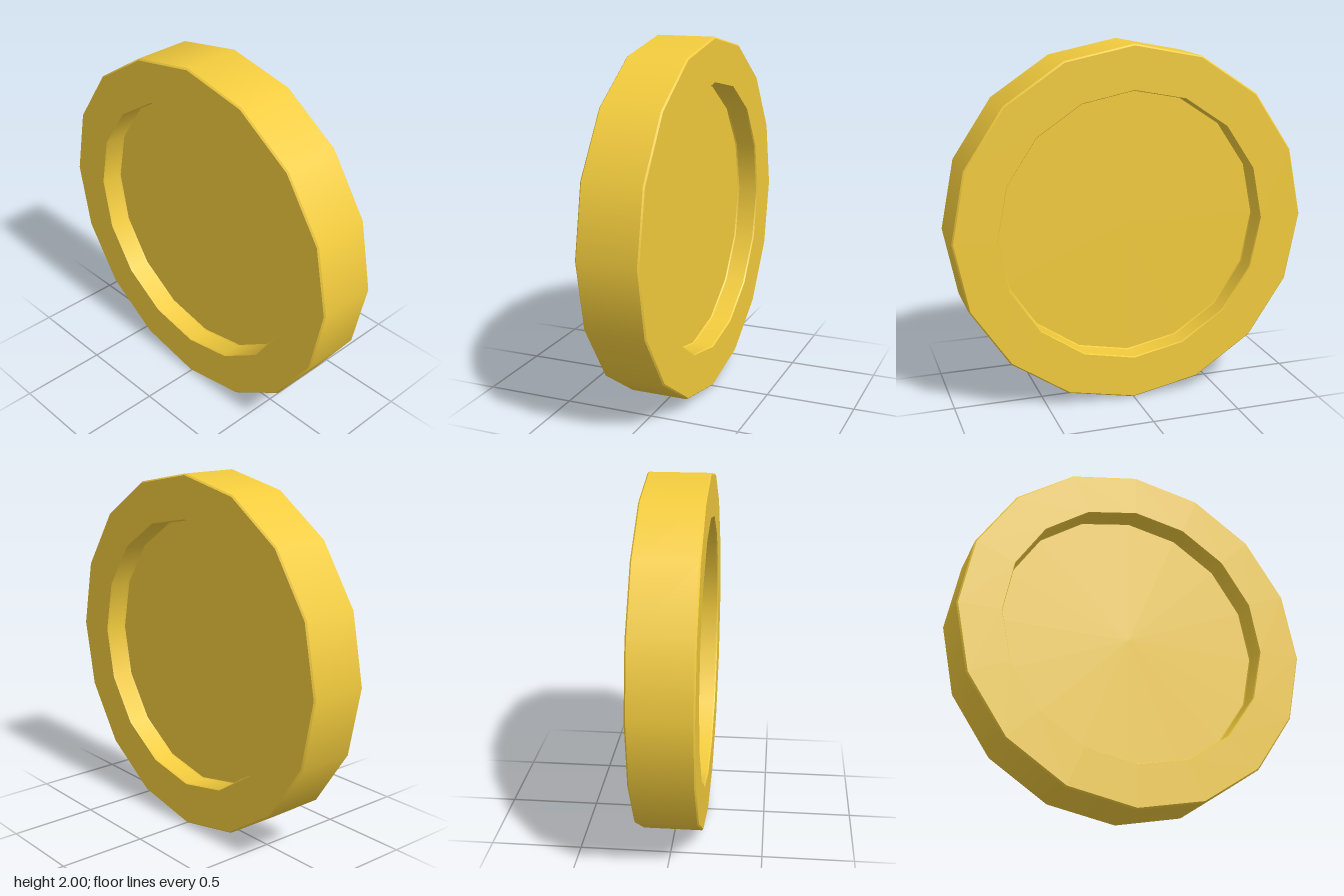
import * as THREE from 'three';
import { mergeGeometries } from 'three/addons/utils/BufferGeometryUtils.js';

const SIDES = 16;
const OUTER = 1, HALF = 0.17;        // rim radius and half thickness
const INNER = 0.755, FLOOR = 0.045;  // recess radius and floor height
const BEVEL = 0.008;

export function createModel() {
  const group = new THREE.Group();
  group.name = 'coin';

  // Upper half of the section, from the outer wall inwards to the centre
  const upper = [
    [OUTER, HALF - BEVEL],
    [OUTER - BEVEL, HALF],
    [INNER + BEVEL / 2, HALF],
    [INNER, HALF - BEVEL],
    [INNER, FLOOR + BEVEL],
    [INNER - BEVEL / 2, FLOOR],
    [0, FLOOR],
  ].map(([r, y]) => new THREE.Vector2(r, y));

  // Mirror it for the other face
  const lower = upper.map((p) => new THREE.Vector2(p.x, -p.y)).reverse();
  const profile = [...lower, ...upper];

  // One band per section edge: smooth around, sharp across the edges
  const bands = [];
  for (let i = 0; i < profile.length - 1; i++) {
    bands.push(new THREE.LatheGeometry([profile[i], profile[i + 1]], SIDES));
  }
  const geometry = mergeGeometries(bands);
  geometry.rotateX(Math.PI / 2);
  geometry.translate(0, OUTER, 0);

  const disc = new THREE.Mesh(
    geometry,
    new THREE.MeshStandardMaterial({ color: 0xf2cb3d })
  );
  disc.name = 'recessedDisc';
  group.add(disc);
  return group;
}
